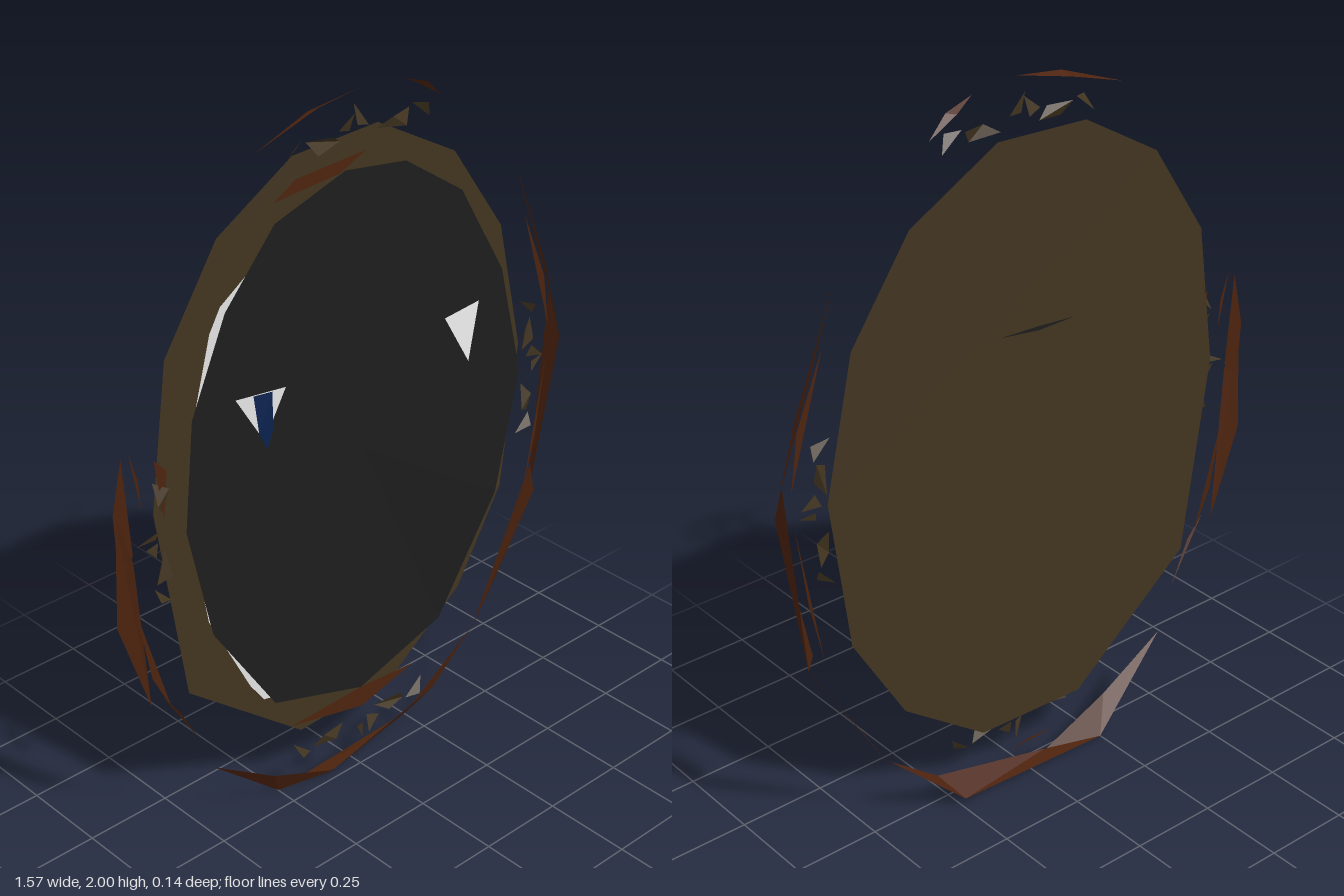
import * as THREE from 'three';

const mat = (name, color) => {
  const m = new THREE.MeshStandardMaterial({ color, side: THREE.DoubleSide, flatShading: true });
  m.name = name;
  return m;
};

const facesToGeometry = points => {
  const geo = new THREE.BufferGeometry().setFromPoints(points);
  geo.computeVertexNormals();
  return geo;
};

// Flat-faced sheet from outline points [x, y, z], triangulated in the xy plane
function sheet(points) {
  let pts = points.map(p => new THREE.Vector3(...p));
  if (THREE.ShapeUtils.area(pts) < 0) pts = pts.reverse();
  const outline = pts.map(p => new THREE.Vector2(p.x, p.y));
  return facesToGeometry(THREE.ShapeUtils.triangulateShape(outline, []).flat().map(i => pts[i]));
}

// Shallow dome fanned from the middle, listed clockwise and standing out most at the left
function dome(outline) {
  const lift = (x, y) => new THREE.Vector3(x, y, (0.02 + 0.036 * x) * (1 - ((y - 1.03) / 0.8) ** 2));
  const rim = outline.map(([x, y]) => lift(x, y));
  const middle = lift(-0.01, 1.03);
  return facesToGeometry(rim.flatMap((p, i) => [middle, rim[(i + 1) % rim.length], p]));
}

export function createModel() {
  const olive = mat('oliveWood', 0x423520);
  const brown = mat('redBrownWood', 0x4d230e);
  const black = mat('darkGlass', 0x1d1d1d);
  const white = mat('paleGrey', 0xe2e2e2);
  const blue = mat('deepBlue', 0x08204c);

  const model = new THREE.Group();
  const addMesh = (name, geometry, material, parent = model) => {
    const mesh = new THREE.Mesh(geometry, material);
    mesh.name = name;
    parent.add(mesh);
  };
  const add = (name, points, material, parent) => addMesh(name, sheet(points), material, parent);
  const atZ = (z, pts) => pts.map(([x, y]) => [x, y, z]);
  const addGroup = name => {
    const g = new THREE.Group();
    g.name = name;
    model.add(g);
    return g;
  };

  // Oval backing plate, set back behind the glass
  add('backPlate', atZ(-0.045, [
    [-0.18, 1.86], [0.1, 1.87], [0.37, 1.72], [0.55, 1.46], [0.635, 1.08], [0.58, 0.65], [0.42, 0.38],
    [0.16, 0.19], [-0.18, 0.18], [-0.56, 0.49], [-0.645, 1.06], [-0.59, 1.46], [-0.42, 1.72],
  ]), olive);
  add('rearCrack', atZ(-0.047, [[0.1, 1.355], [-0.03, 1.35], [-0.15, 1.34], [-0.03, 1.338]]), black);

  // Pale disc whose corners peek out behind the glass
  add('paleDisc', atZ(-0.015, [
    [0.15, 1.74], [0.385, 1.58], [0.435, 1.49], [0.53, 1.06], [0.482, 0.68], [0.35, 0.42], [0.312, 0.37],
    [0, 0.29], [-0.335, 0.375], [-0.38, 0.44], [-0.51, 0.7], [-0.56, 1], [-0.53, 1.3], [-0.475, 1.5],
    [-0.44, 1.56], [-0.2, 1.72],
  ]), white);

  // Dark glass
  addMesh('glass', dome([
    [-0.28, 1.73], [-0.05, 1.8], [0.15, 1.77], [0.34, 1.64], [0.48, 1.38], [0.55, 1.06], [0.48, 0.7],
    [0.29, 0.36], [0, 0.26], [-0.31, 0.36], [-0.51, 0.67], [-0.58, 1.0], [-0.55, 1.3], [-0.44, 1.55],
  ]), black);

  // Triangular eyes
  add('leftEye', [[0.25, 1.32, 0.05], [0.39, 1.32, 0.035], [0.32, 1.18, 0.07]], white);
  add('rightEye', [[-0.43, 1.32, 0.02], [-0.295, 1.32, 0.05], [-0.36, 1.19, 0.042]], white);
  add('rightPupil', [[-0.385, 1.32, 0.034], [-0.335, 1.32, 0.046], [-0.34, 1.22, 0.052], [-0.36, 1.17, 0.052],
    [-0.38, 1.22, 0.046]], blue);

  // Red-brown inlays in front of the plate
  add('topInlay', atZ(0.005, [[-0.285, 1.785], [-0.215, 1.825], [0.015, 1.837], [-0.07, 1.8]]), brown);
  add('bottomInlay', atZ(0.006, [[-0.26, 0.26], [0, 0.265], [0.19, 0.25], [0, 0.2]]), brown);

  // Outer frame shards, swept backwards
  const shards = addGroup('outerFrameShards');
  const shard = (...pts) => add('frameShard', pts, brown, shards);
  shard([0.58, 1.64, -0.03], [0.78, 1.19, -0.07], [0.765, 1.07, -0.01], [0.7, 1.31, -0.015]);
  shard([0.78, 1.19, -0.07], [0.73, 0.65, -0.068], [0.765, 1.07, -0.01]);
  shard([0.765, 1.07, -0.01], [0.73, 0.65, -0.068], [0.68, 0.65, -0.015]);
  shard([0.73, 0.65, -0.068], [0.47, 0.23, -0.03], [0.547, 0.363, -0.02], [0.692, 0.6, -0.016]);
  shard([-0.5, 0.23, -0.028], [-0.25, 0, -0.065], [-0.08, 0.005, -0.02], [-0.3, 0.1, -0.02]);
  shard([-0.25, 0, -0.065], [0.24, 0.02, -0.065], [-0.08, 0.01, -0.02]);
  shard([-0.08, 0.01, -0.02], [0.24, 0.02, -0.065], [0.465, 0.23, -0.028], [0.3, 0.1, -0.02]);
  shard([-0.78, 1.12, -0.015], [-0.785, 0.8, -0.028], [-0.7, 0.53, -0.02], [-0.742, 0.98, -0.005]);
  shard([-0.78, 1.12, -0.025], [-0.755, 1.27, -0.015], [-0.74, 1.0, -0.008], [-0.775, 0.92, -0.02]);

  // Thin splinters between the shards and the plate
  const splinters = addGroup('thinSplinters');
  for (const outline of [
    [[-0.33, 1.915, -0.01], [-0.14, 1.983, 0.004], [0, 2.0, 0.004], [-0.15, 1.97, -0.022]],
    [[0.14, 1.985, 0.002], [0.22, 1.958, 0.002], [0.28, 1.905, -0.01], [0.2, 1.955, -0.016]],
    [[0.61, 1.48, -0.015], [0.715, 1.12, -0.01], [0.69, 1.28, -0.01]],
    [[0.71, 1.02, -0.01], [0.645, 0.62, -0.015], [0.68, 0.79, -0.01]],
    [[-0.74, 0.84, -0.01], [-0.64, 0.5, -0.015], [-0.7, 0.62, -0.01]],
    [[-0.67, 0.55, -0.015], [-0.555, 0.36, -0.02], [-0.62, 0.48, -0.01]],
    [[-0.735, 1.28, -0.012], [-0.71, 1.12, -0.005], [-0.715, 1.2, -0.005]],
    [[-0.67, 1.24, 0], [-0.65, 1.07, 0.004], [-0.635, 1.2, 0.004]],
    [[-0.12, 0.06, -0.01], [0.04, 0.055, -0.01], [-0.04, 0.065, -0.01]],
  ]) add('splinter', outline, brown, splinters);

  // Carved ornament fragments, repeated at the four ends of the oval
  const fragments = [
    [[0.06, -0.045], [0.1, -0.02], [0.17, -0.018], [0.145, -0.055]],
    [[0.18, -0.01], [0.22, -0.015], [0.24, -0.06]],
  ];
  const ornament = (name, x, y, angle, width = 1) => {
    const g = addGroup(name);
    add('centrePiece', [[-0.07, -0.015, 0], [-0.025, 0.022, 0.008], [-0.03, -0.028, -0.008]], olive, g);
    add('centreTip', [[-0.015, 0.04, -0.008], [0.02, -0.02, 0.008], [-0.01, -0.015, 0]], olive, g);
    for (const s of [-1, 1]) for (const f of fragments)
      add('sidePiece', f.map(([u, v], i) => [s * u, v, i % 2 ? 0.01 : -0.008]), olive, g);
    g.position.set(x, y, 0);
    g.rotation.z = angle;
    g.scale.x = width;
  };
  ornament('topOrnament', 0, 1.92, 0);
  ornament('bottomOrnament', 0, 0.12, Math.PI);
  ornament('leftOrnament', 0.655, 1.03, -Math.PI / 2, 0.85);
  ornament('rightOrnament', -0.69, 1.03, Math.PI / 2, 0.85);

  return model;
}
